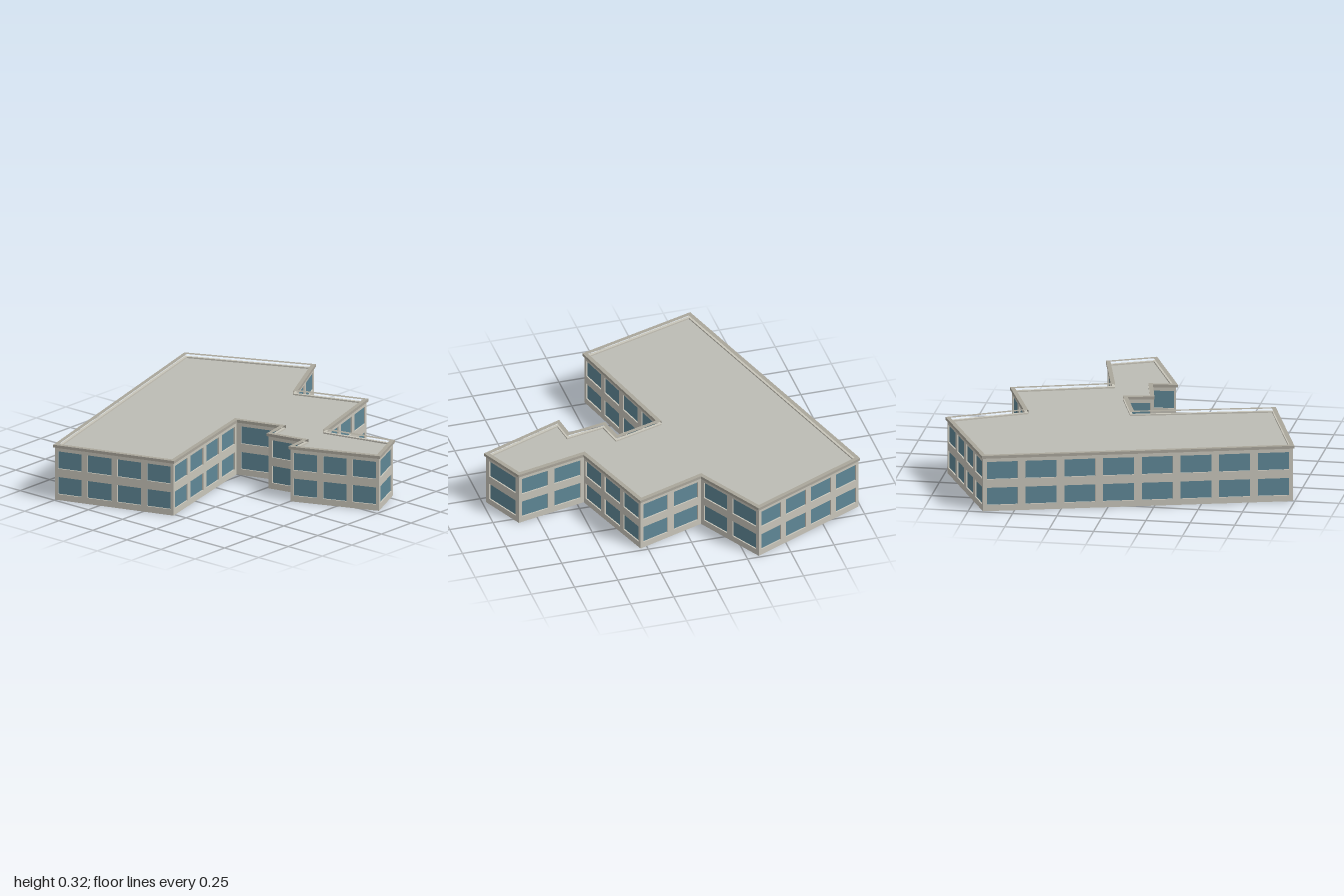
import * as THREE from 'three';

// Eave outline in plan (x, z), clockwise seen from above
const OUTLINE = [
  [-1.0, -0.508], [0.673, -0.997], [0.998, -0.315], [0.598, -0.098], [0.742, 0.294],
  [0.206, 0.465], [0.303, 0.868], [0.037, 0.99], [-0.168, 0.495], [-0.03, 0.477],
  [-0.077, 0.257], [0.068, 0.227], [-0.01, -0.018], [-0.773, 0.182],
].map(([x, z]) => new THREE.Vector2(x, z));

const WALL_TOP = 0.307, TOP = 0.323, ROOF_Y = 0.299;
const OVERHANG = 0.008, WALL = 0.016, RECESS = 0.008;
const FLOORS = [[0.035, 0.135], [0.184, 0.285]];
const BAY = 0.187, MAX_BAYS = 8, WINDOW_RATIO = 0.8;

// Moves every side of a plan polygon inward by d
function inset(points, d) {
  const n = points.length;
  const inward = (a, b) => {
    const v = b.clone().sub(a).normalize();
    return new THREE.Vector2(-v.y, v.x);
  };
  return points.map((p, i) => {
    const n1 = inward(points[(i + n - 1) % n], p);
    const n2 = inward(p, points[(i + 1) % n]);
    return p.clone().addScaledVector(n1.clone().add(n2), d / (1 + n1.dot(n2)));
  });
}

// Plan points become shape points that lie flat after rotateX(-90 degrees)
const flat = (points) => points.map((p) => new THREE.Vector2(p.x, -p.y));

function rectPath(PathType, x0, y0, x1, y1) {
  return new PathType([[x0, y0], [x1, y0], [x1, y1], [x0, y1]].map(([x, y]) => new THREE.Vector2(x, y)));
}

export function createModel() {
  const material = (name, color, extra = {}) => {
    const m = new THREE.MeshStandardMaterial({ color, ...extra });
    m.name = name;
    return m;
  };
  const wallMat = material('wall stone', 0xc8c5ba);
  const glassMat = material('window glass', 0x5f8796);
  const copingMat = material('coping stone', 0xaaa69b);
  const roofMat = material('roof grey', 0xbcbcb4, { side: THREE.DoubleSide });

  const model = new THREE.Group();
  model.name = 'building';
  const add = (parent, name, geometry, mat) => {
    const mesh = new THREE.Mesh(geometry, mat);
    mesh.name = name;
    parent.add(mesh);
    return mesh;
  };

  const outer = inset(OUTLINE, OVERHANG);
  const inner = inset(OUTLINE, OVERHANG + WALL);

  // One wall per side, with window openings on two floors
  outer.forEach((b, i) => {
    const j = (i + 1) % outer.length;
    const a = outer[j];
    const along = b.clone().sub(a);
    const length = along.length();
    along.normalize();

    const side = new THREE.Group();
    side.name = 'facade' + (i + 1);
    side.position.set(a.x, 0, a.y);
    side.rotation.y = Math.atan2(-along.y, along.x);
    model.add(side);

    const bays = Math.min(MAX_BAYS, Math.max(1, Math.round(length / BAY)));
    const pitch = length / bays;
    const width = pitch * WINDOW_RATIO;
    const shape = rectPath(THREE.Shape, 0, 0, length, WALL_TOP);
    for (let k = 0; k < bays; k++) {
      const x = (k + 0.5) * pitch;
      for (const [y0, y1] of FLOORS) {
        shape.holes.push(rectPath(THREE.Path, x - width / 2, y0, x + width / 2, y1));
        const pane = add(side, 'window', new THREE.BoxGeometry(width, y1 - y0, 0.003), glassMat);
        pane.position.set(x, (y0 + y1) / 2, -RECESS - 0.0015);
      }
    }

    const geometry = new THREE.ExtrudeGeometry(shape, { depth: WALL, bevelEnabled: false });
    geometry.translate(0, 0, -WALL);
    // Mitre the inner ends so neighbouring walls meet
    const startX = inner[j].clone().sub(a).dot(along);
    const endX = inner[i].clone().sub(a).dot(along);
    const pos = geometry.attributes.position;
    for (let v = 0; v < pos.count; v++) {
      if (pos.getZ(v) > -WALL / 2) continue;
      if (pos.getX(v) < 1e-5) pos.setX(v, startX);
      else if (pos.getX(v) > length - 1e-5) pos.setX(v, endX);
    }
    geometry.computeVertexNormals();
    add(side, 'wall', geometry, wallMat);
  });

  // Coping ring around the roof edge
  const ring = new THREE.Shape(flat(OUTLINE));
  ring.holes.push(new THREE.Path(flat(inner)));
  const coping = new THREE.ExtrudeGeometry(ring, { depth: TOP - WALL_TOP, bevelEnabled: false });
  coping.rotateX(-Math.PI / 2);
  add(model, 'coping', coping, copingMat).position.y = WALL_TOP;

  // Flat roof sunk behind the coping; the underside is open
  const roof = new THREE.ShapeGeometry(new THREE.Shape(flat(inner)));
  roof.rotateX(-Math.PI / 2);
  add(model, 'roof', roof, roofMat).position.y = ROOF_Y;

  return model;
}
